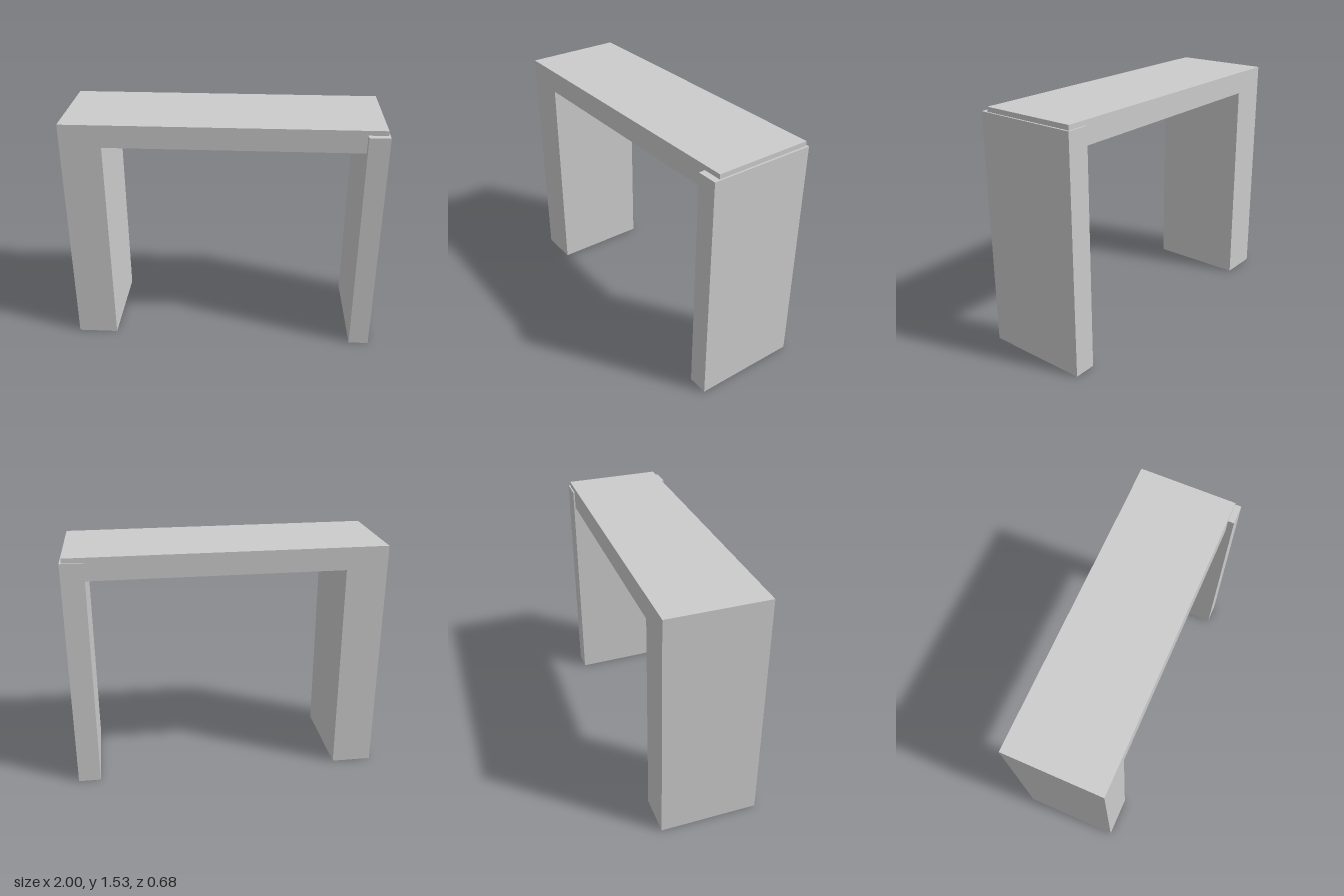
import * as THREE from 'three';

const material = new THREE.MeshStandardMaterial({ color: 0xcccccc, flatShading: true });

// Extrudes a closed outline of [x, y] points along +z
function prism(name, points, depth) {
  const shape = new THREE.Shape(points.map(([x, y]) => new THREE.Vector2(x, y)));
  const geometry = new THREE.ExtrudeGeometry(shape, { depth, bevelEnabled: false });
  const mesh = new THREE.Mesh(geometry, material);
  mesh.name = name;
  return mesh;
}

export function createModel() {
  const group = new THREE.Group();
  group.name = 'table';

  // Table top and thick leg as one continuous L-shaped slab
  const top = prism('topWithThickLeg', [
    [-1, 0], [-0.74, 0], [-0.74, 1.385], [0.985, 1.385], [0.985, 1.53], [-1, 1.53],
  ], 0.63);
  top.position.z = -0.33;
  group.add(top);

  // Thin side panel: a slightly skewed plan outline (x, -z) raised to full height
  const panel = prism('sidePanel', [
    [0.865, -0.34], [0.995, -0.34], [0.998, 0.34], [0.855, 0.34],
  ], 1.5);
  panel.rotation.x = -Math.PI / 2;
  group.add(panel);

  return group;
}
